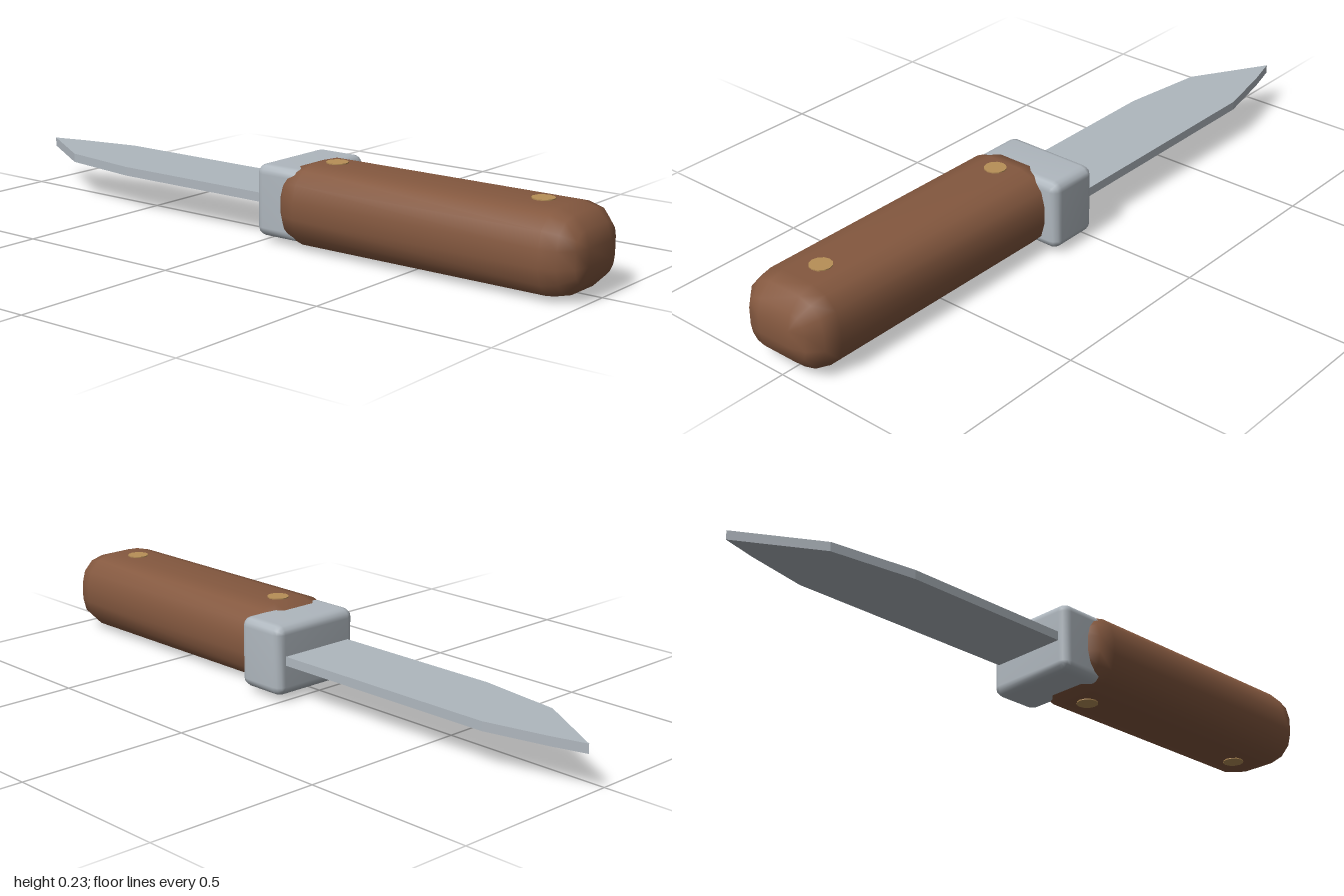
import * as THREE from 'three';
import { mergeVertices } from 'three/addons/utils/BufferGeometryUtils.js';

// Box with round edges, made of rounded-rectangle rings stacked along x
function roundedBlock(min, max, r, seg) {
  const c = min.map((v, i) => (v + max[i]) / 2);
  const core = min.map((v, i) => (max[i] - v) / 2 - r);
  const pos = [], index = [];
  const n = 4 * (seg + 1), rings = 2 * (seg + 1);
  for (let k = 0; k < rings; k++) {
    const side = k <= seg ? -1 : 1;
    const lat = ((side < 0 ? k : k - 1) / seg - 1) * Math.PI / 2;
    const x = c[0] + side * core[0] + r * Math.sin(lat);
    const rr = Math.max(0, r * Math.cos(lat));
    for (let q = 0; q < 4; q++) {
      const sy = q === 0 || q === 3 ? 1 : -1, sz = q < 2 ? 1 : -1;
      for (let j = 0; j <= seg; j++) {
        const a = (q + j / seg) * Math.PI / 2;
        pos.push(x, c[1] + sy * core[1] + rr * Math.cos(a), c[2] + sz * core[2] + rr * Math.sin(a));
      }
    }
  }
  for (let k = 0; k < rings - 1; k++) {
    for (let i = 0; i < n; i++) {
      const a = k * n + i, b = k * n + (i + 1) % n;
      index.push(a, b, b + n, a, b + n, a + n);
    }
  }
  // flat ends
  const s = seg + 1, e = (rings - 1) * n;
  index.push(0, 2 * s, s, 0, 3 * s, 2 * s);
  index.push(e, e + s, e + 2 * s, e, e + 2 * s, e + 3 * s);
  const g = new THREE.BufferGeometry();
  g.setAttribute('position', new THREE.Float32BufferAttribute(pos, 3));
  g.setIndex(index);
  const merged = mergeVertices(g, 1e-5);
  merged.computeVertexNormals();
  return merged;
}

export function createModel() {
  const wood = new THREE.MeshStandardMaterial({ name: 'brown wood', color: 0x84583f });
  const steel = new THREE.MeshStandardMaterial({ name: 'steel', color: 0xafb7be });
  const brass = new THREE.MeshStandardMaterial({ name: 'brass', color: 0xb78f57 });
  const group = new THREE.Group();
  group.name = 'knife';
  const add = (name, geometry, material) => {
    const mesh = new THREE.Mesh(geometry, material);
    mesh.name = name;
    group.add(mesh);
    return mesh;
  };

  add('handle', roundedBlock([0.06, 0.003, -0.122], [1, 0.23, 0.163], 0.09, 3), wood);
  add('guard', roundedBlock([-0.01, 0.016, -0.162], [0.15, 0.218, 0.127], 0.026, 3), steel);

  // Blade outline in x and z, extruded upwards
  const outline = [[-1, -0.068], [-0.9, -0.096], [-0.72, -0.135], [0.1, -0.135],
    [0.1, 0.1], [-0.53, 0.1], [-0.78, 0.065]];
  const shape = new THREE.Shape(outline.map(([x, z]) => new THREE.Vector2(x, -z)));
  const blade = new THREE.ExtrudeGeometry(shape, { depth: 0.026, bevelEnabled: false });
  blade.rotateX(-Math.PI / 2).translate(0, 0.105, 0);
  add('blade', blade, steel);

  // Rivets run right through the handle
  for (const x of [0.19, 0.835]) {
    add('rivet', new THREE.CylinderGeometry(0.031, 0.031, 0.233, 12), brass).position.set(x, 0.1165, 0.018);
  }
  return group;
}
